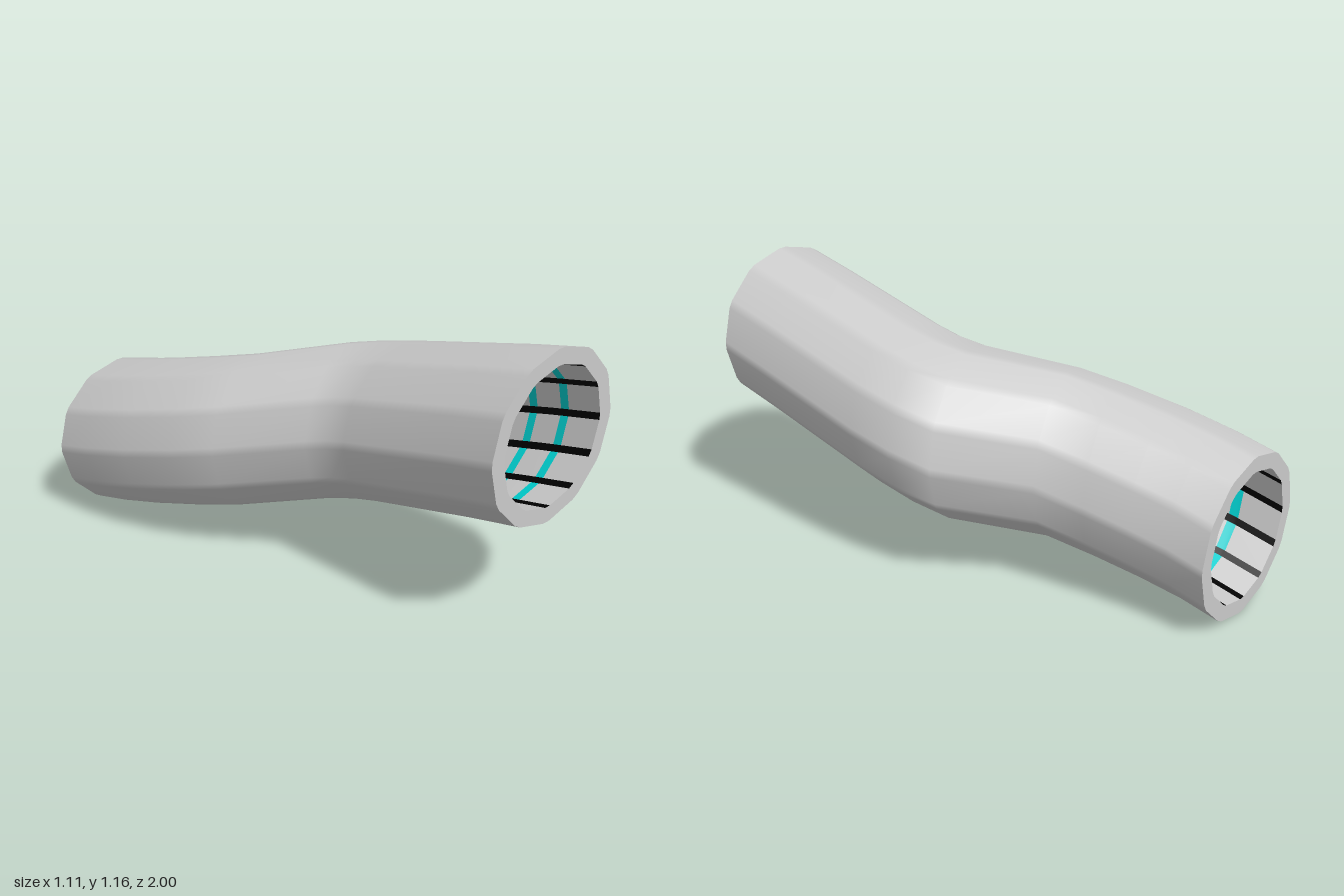
import * as THREE from 'three';

const R = 0.333, INNER = 0.81;

// Rings from front to back: left edge x, z and right edge x, z
const stations = [
  [-0.113, 1, 0.553, 1],
  [-0.113, 0.78, 0.553, 0.78],
  [-0.113, 0.3, 0.55, 0.3],
  [-0.122, 0.22, 0.532, 0.12],
  [-0.156, 0.135, 0.489, -0.05],
  [-0.352, -0.193, 0.24, -0.34],
  [-0.43, -0.37, 0.188, -0.53],
  [-0.5, -0.6, 0.148, -0.7],
  [-0.54, -0.82, 0.119, -0.85],
  [-0.553, -1, 0.11, -1],
];
const depth = (s) => 1 - (s[1] + s[3]) / 2;

// Twelve-sided section with narrow bevels on its corners
const angles = [];
for (let k = 0; k < 12; k++) {
  for (const d of [-3, 3]) angles.push((30 * k + d) * Math.PI / 180);
}
const N = angles.length;

// Gentle descent from front to back
const centreY = (z) => (z > 0.8 ? 0.785 + (z - 0.8) * 0.225 : 0.785 - (0.8 - z) * 0.251);

function ringAt(u, scale) {
  let i = 0;
  while (i < stations.length - 2 && u > depth(stations[i + 1])) i++;
  const a = stations[i], b = stations[i + 1];
  const f = (u - depth(a)) / (depth(b) - depth(a));
  const [xl, zl, xr, zr] = a.map((v, j) => v + (b[j] - v) * f);
  return angles.map((t) => {
    const w = (1 + scale * Math.cos(t)) / 2;
    const z = zl + (zr - zl) * w;
    return [xl + (xr - xl) * w, centreY(z) + R * scale * Math.sin(t), z];
  });
}

// Joins rings with quads; keep(row, side) selects which quads to build
function loft(rings, inward, keep = () => true) {
  const index = [];
  for (let r = 0; r < rings.length - 1; r++) {
    for (let j = 0; j < N; j++) {
      if (!keep(r, j)) continue;
      const a = r * N + j, b = r * N + (j + 1) % N;
      const c = b + N, d = a + N;
      if (inward) index.push(a, b, c, a, c, d);
      else index.push(a, d, c, a, c, b);
    }
  }
  const g = new THREE.BufferGeometry();
  g.setAttribute('position', new THREE.Float32BufferAttribute(rings.flat(2), 3));
  g.setIndex(index);
  g.computeVertexNormals();
  return g;
}

export function createModel() {
  const group = new THREE.Group();
  const grey = new THREE.MeshStandardMaterial({ color: 0xcccccc });
  const black = new THREE.MeshStandardMaterial({ color: 0x000000 });
  const cyan = new THREE.MeshStandardMaterial({ color: 0x00d0d0 });
  const add = (name, geometry, material) => {
    const mesh = new THREE.Mesh(geometry, material);
    mesh.name = name;
    group.add(mesh);
  };

  // Outer shell
  const bends = stations.map(depth);
  add('outerShell', loft(bends.map((u) => ringAt(u, 1)), false), grey);

  // Flat rims at both ends
  add('frontRim', loft([ringAt(0, 1), ringAt(0, INNER)], true), grey);
  add('backRim', loft([ringAt(2, 1), ringAt(2, INNER)], false), grey);

  // Inner wall, split where the light bands begin and end
  const bands = Array.from({ length: 13 }, (_, k) => 0.15 + 0.14 * k);
  const rows = [...bends, ...bands.flatMap((u) => [u - 0.017, u + 0.017])].sort((a, b) => a - b);
  const inner = rows.map((u) => ringAt(u, INNER));
  const isBand = (r) => bands.some((u) => Math.abs((rows[r] + rows[r + 1]) / 2 - u) < 0.017);
  const isCorner = (j) => j % 2 === 0;
  add('innerWall', loft(inner, true, (r, j) => !isCorner(j) && !isBand(r)), grey);
  add('lightBands', loft(inner, true, (r, j) => !isCorner(j) && isBand(r)), cyan);
  add('cornerStrips', loft(inner, true, (r, j) => isCorner(j)), black);

  return group;
}
